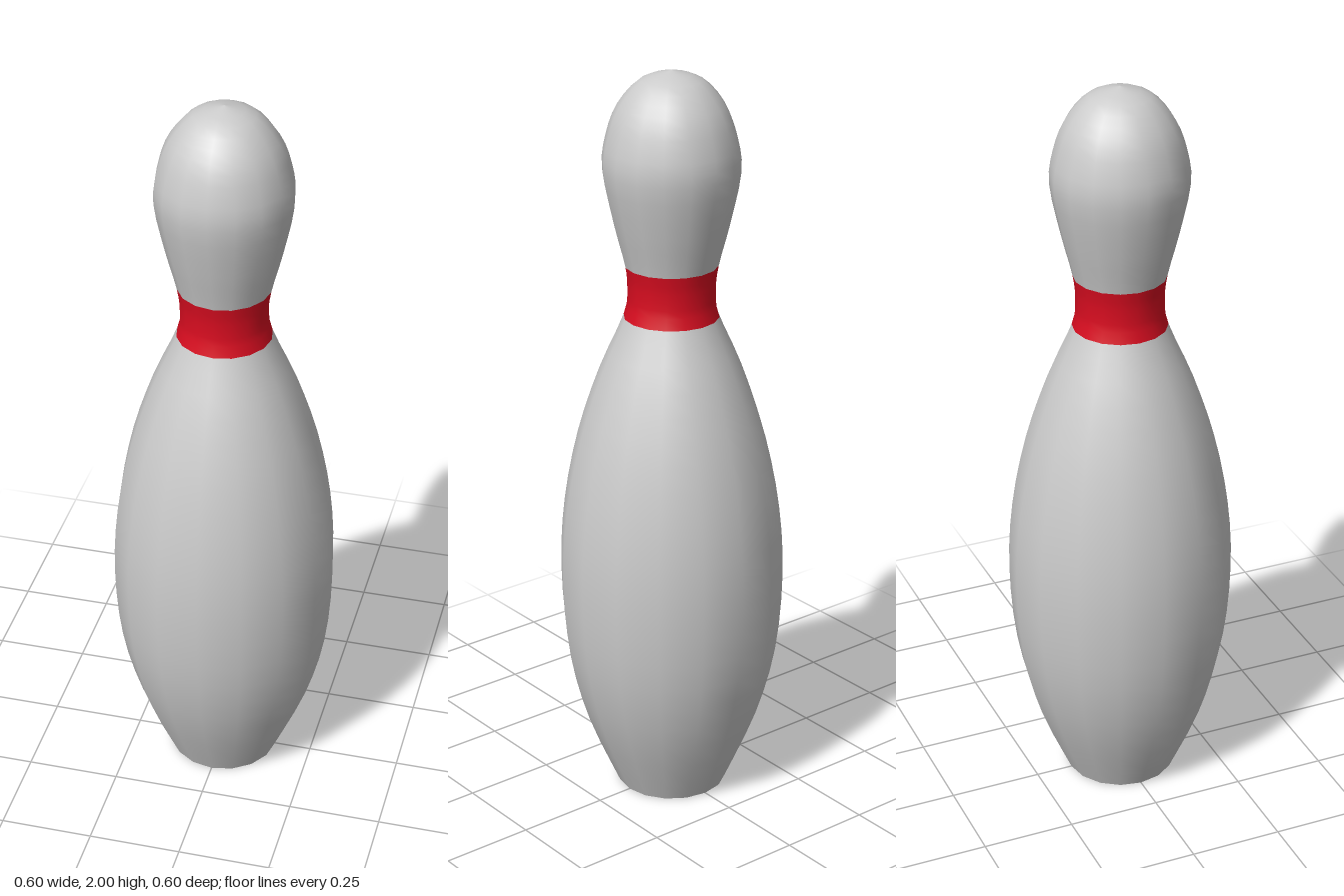
import * as THREE from 'three';

// Radius and height control points, from the foot to the crown
const profile = new THREE.SplineCurve([
  [0.148, 0], [0.232, 0.2], [0.283, 0.4], [0.3, 0.62], [0.288, 0.82], [0.249, 1.02],
  [0.19, 1.2], [0.125, 1.35], [0.115, 1.42], [0.122, 1.49],
  [0.15, 1.6], [0.178, 1.74], [0.168, 1.83], [0.138, 1.91], [0.08, 1.975], [0, 2],
].map(([r, y]) => new THREE.Vector2(r, y)));

const SIDES = 16;

// Turns the stretch of the profile between two control points
function turned(name, from, to, color) {
  const steps = (to - from) * 3;
  const last = profile.points.length - 1;
  const points = [];
  for (let i = 0; i <= steps; i++) {
    const p = profile.getPoint((from + (to - from) * i / steps) / last);
    p.x = Math.max(p.x, 0);
    points.push(p);
  }
  const mesh = new THREE.Mesh(
    new THREE.LatheGeometry(points, SIDES),
    new THREE.MeshStandardMaterial({ color }),
  );
  mesh.name = name;
  return mesh;
}

export function createModel() {
  const pin = new THREE.Group();
  pin.name = 'bowlingPin';

  pin.add(
    turned('body', 0, 7, 0xcccccc),
    turned('neckBand', 7, 9, 0xd90d20),
    turned('head', 9, 15, 0xcccccc),
  );

  // Flat underside, its corners in line with the body's
  const base = new THREE.Mesh(
    new THREE.CircleGeometry(0.148, SIDES).rotateX(Math.PI / 2),
    new THREE.MeshStandardMaterial({ color: 0xcccccc }),
  );
  base.name = 'base';
  pin.add(base);

  return pin;
}
